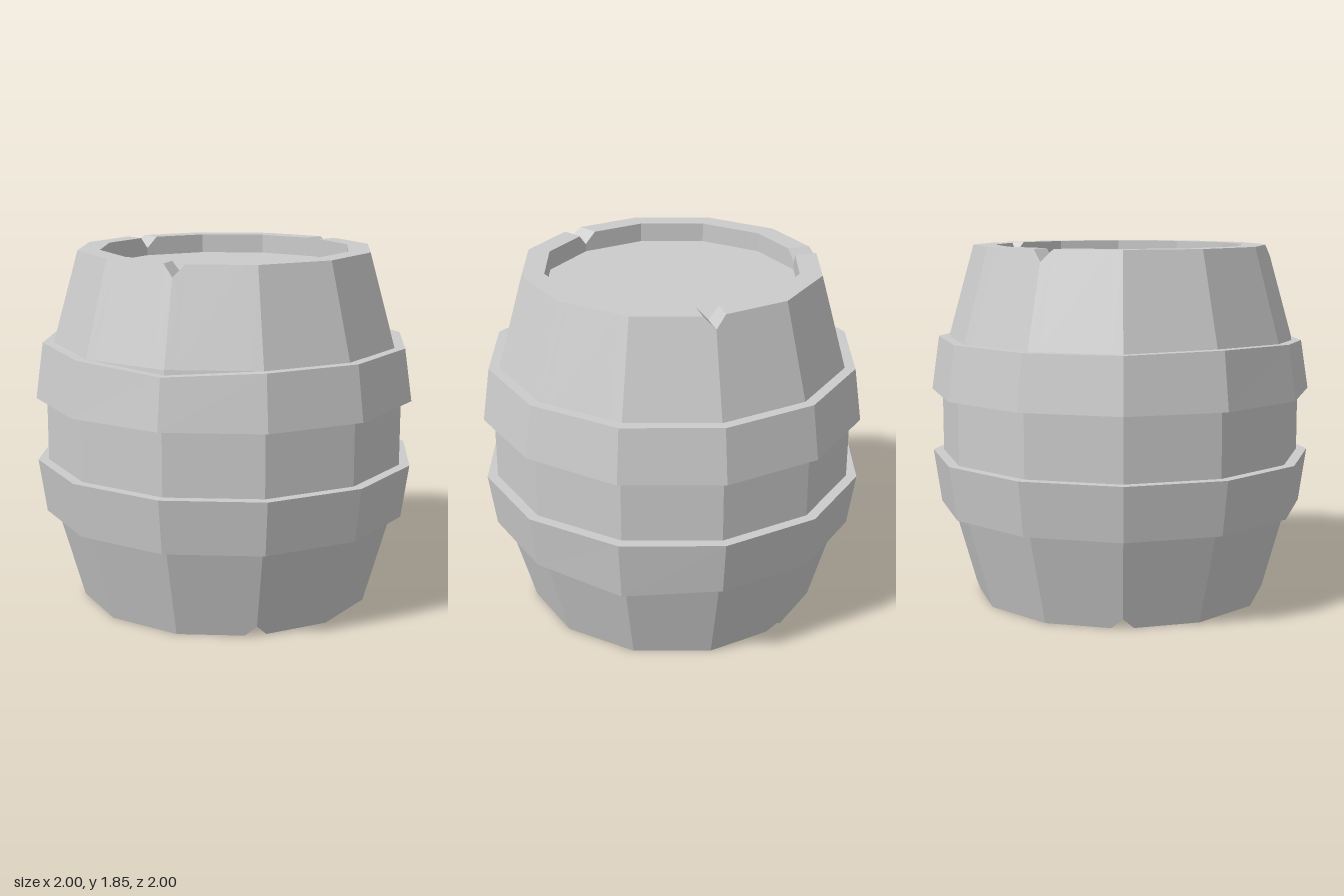
import * as THREE from 'three';

const SIDES = 12;
const NOTCH = 0.057; // half width of a rim notch
const H = 1.85;

// Corner i of a twelve-sided ring, counted from the front towards +x
function corner(i, r, y) {
  const a = (i * Math.PI * 2) / SIDES;
  return new THREE.Vector3(Math.sin(a) * r, y, Math.cos(a) * r);
}

// Plain ring; nudge = { corner index: height offset }
function ring(r, y, nudge = {}) {
  return Array.from({ length: SIDES }, (_, i) => corner(i, r, y + (nudge[i] || 0)));
}

// Ring with two extra points beside each corner; notches = { index: depth }.
// slope widens the corner along the stave as it is cut.
function staveRing(r, y, notches = {}, slope = 0) {
  const edge = 2 * r * Math.sin(Math.PI / SIDES);
  const f = edge > 0 ? Math.min(NOTCH / edge, 0.2) : 0;
  const pts = [];
  for (let i = 0; i < SIDES; i++) {
    const mid = corner(i, r, y);
    const d = notches[i] || 0;
    pts.push(mid.clone().lerp(corner(i - 1, r, y), f));
    pts.push(corner(i, r + Math.abs(d) * slope, y + d));
    pts.push(mid.clone().lerp(corner(i + 1, r, y), f));
  }
  return pts;
}

// Skin consecutive rings with flat faces
function loft(rings) {
  const pos = [];
  const tri = (a, b, c) => {
    const n = b.clone().sub(a).cross(c.clone().sub(a));
    if (n.length() > 1e-9) for (const p of [a, b, c]) pos.push(p.x, p.y, p.z);
  };
  for (let k = 0; k < rings.length - 1; k++) {
    const lo = rings[k], hi = rings[k + 1], n = lo.length;
    for (let i = 0; i < n; i++) {
      const j = (i + 1) % n;
      tri(lo[i], lo[j], hi[j]);
      tri(lo[i], hi[j], hi[i]);
    }
  }
  const g = new THREE.BufferGeometry();
  g.setAttribute('position', new THREE.Float32BufferAttribute(pos, 3));
  g.computeVertexNormals();
  return g;
}

export function createModel() {
  const group = new THREE.Group();
  group.name = 'barrel';
  const material = new THREE.MeshStandardMaterial({ color: 0xcccccc, flatShading: true });
  const add = (name, rings) => {
    const mesh = new THREE.Mesh(loft(rings), material);
    mesh.name = name;
    group.add(mesh);
  };

  // Staves, rims with chipped corners
  const topNotches = { 0: -0.06, 5: -0.06, 8: -0.06 };
  const bottomNotches = { 1: 0.055, 6: 0.04, 9: 0.055 };
  add('staves', [
    staveRing(0.655, 0.1),
    staveRing(0.655, 0, bottomNotches),
    staveRing(0.77, 0, bottomNotches, 0.28),
    staveRing(0.905, 0.48),
    staveRing(0.945, 0.76),
    staveRing(0.945, 1.09),
    staveRing(0.905, 1.37),
    staveRing(0.77, H, topNotches, 0.28),
    staveRing(0.655, H, topNotches),
    staveRing(0.655, H - 0.1),
  ]);

  // Recessed end boards
  add('bottomBoard', [staveRing(0, 0.1), staveRing(0.655, 0.1)]);
  add('topBoard', [staveRing(0.655, H - 0.1), staveRing(0, H - 0.1)]);

  // Hoops, slightly uneven along their edges
  const lowDent = { 4: -0.03 };
  add('lowerHoop', [
    ring(0.895, 0.48, lowDent),
    ring(0.96, 0.48, lowDent),
    ring(1, 0.76),
    ring(0.94, 0.76),
  ]);
  const underDent = { 3: 0.01 };
  const topDent = { 0: -0.025, 10: 0.01 };
  add('upperHoop', [
    ring(0.94, 1.09, underDent),
    ring(1, 1.09, underDent),
    ring(0.96, 1.37, topDent),
    ring(0.895, 1.37, topDent),
  ]);

  return group;
}
